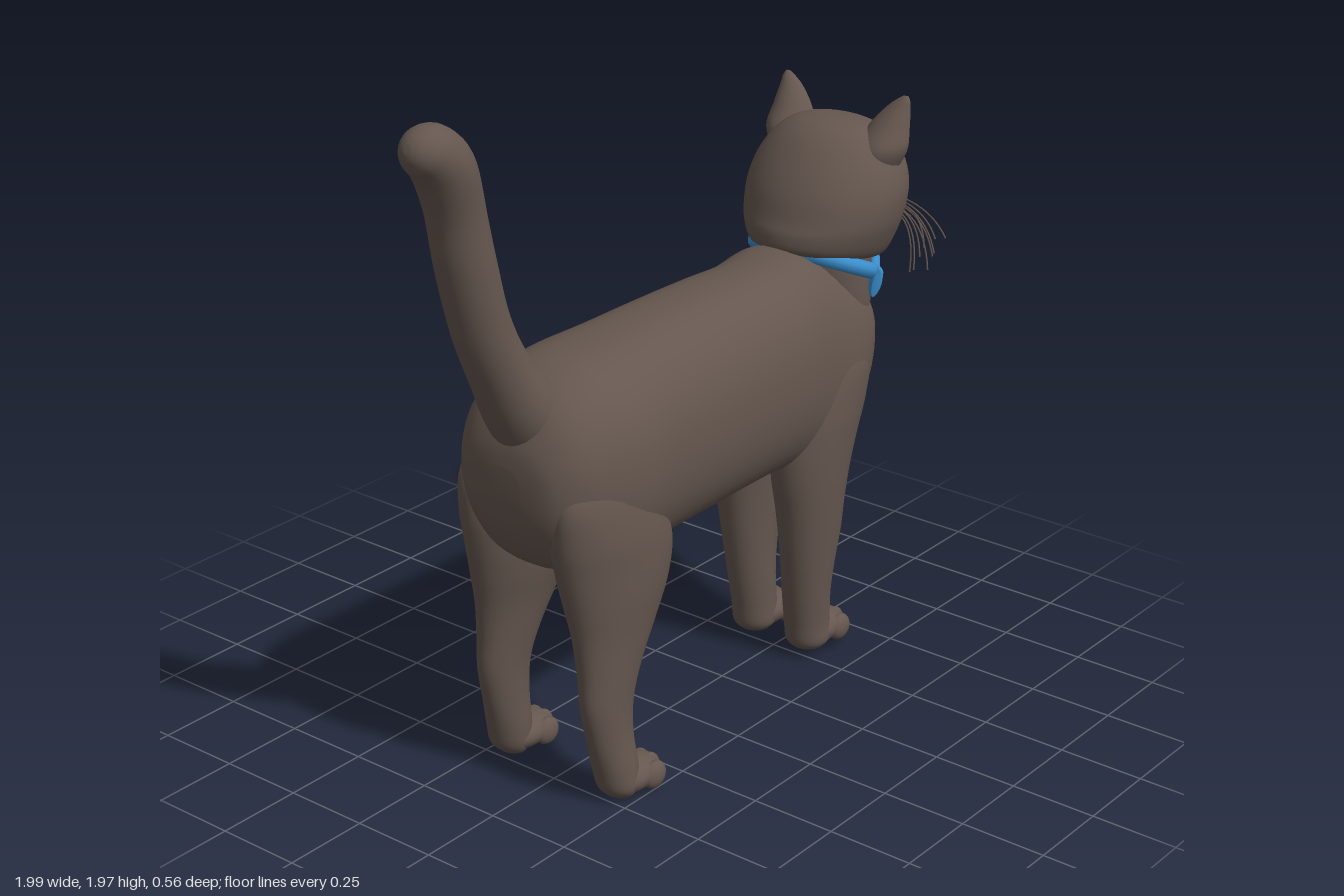
import * as THREE from 'three';

const fur = new THREE.MeshStandardMaterial({ color: 0x65574f });
fur.name = 'brownFur';
const blue = new THREE.MeshStandardMaterial({ color: 0x3a8fcd });
blue.name = 'blueRibbon';

function mesh(parent, name, geometry, material = fur) {
  const m = new THREE.Mesh(geometry, material);
  m.name = name;
  parent.add(m);
  return m;
}

// Smooth interpolation between rows of section numbers
function sample(rows, t) {
  const i = Math.min(Math.floor(t), rows.length - 2), f = t - i;
  const r = k => rows[Math.max(0, Math.min(rows.length - 1, k))];
  return rows[i].map((b, k) => {
    const a = r(i - 1)[k], c = r(i + 1)[k], d = r(i + 2)[k];
    return b + 0.5 * f * (c - a + f * (2 * a - 5 * b + 4 * c - d + f * (3 * (b - c) + d - a)));
  });
}

// Closed skin over cross-sections; place(row, cos, sin) gives each point
function loft(rows, place, n = 36, steps = 5) {
  const pos = [], idx = [], rings = (rows.length - 1) * steps + 1;
  for (let j = 0; j < rings; j++) {
    const row = sample(rows, j / steps);
    for (let i = 0; i < n; i++) {
      const a = i / n * Math.PI * 2;
      pos.push(...place(row, Math.cos(a), Math.sin(a)));
    }
  }
  const centre = j => {
    const c = [0, 0, 0];
    for (let i = 0; i < n; i++) for (let k = 0; k < 3; k++) c[k] += pos[(j * n + i) * 3 + k] / n;
    pos.push(...c);
    return pos.length / 3 - 1;
  };
  const first = centre(0), last = centre(rings - 1);
  for (let i = 0; i < n; i++) {
    const k = (i + 1) % n;
    for (let j = 0; j < rings - 1; j++) {
      const a = j * n + i, b = j * n + k;
      idx.push(a, b, a + n, b, b + n, a + n);
    }
    idx.push(first, k, i, last, (rings - 1) * n + i, (rings - 1) * n + k);
  }
  // Turn the faces outwards using the signed volume
  const v = i => new THREE.Vector3().fromArray(pos, i * 3);
  let volume = 0;
  for (let i = 0; i < idx.length; i += 3) volume += v(idx[i]).dot(v(idx[i + 1]).cross(v(idx[i + 2])));
  if (volume < 0) idx.reverse();
  const g = new THREE.BufferGeometry();
  g.setAttribute('position', new THREE.Float32BufferAttribute(pos, 3));
  g.setIndex(idx);
  g.computeVertexNormals();
  return g;
}

function blob(parent, name, p, r, material = fur, rot = [0, 0, 0]) {
  const m = mesh(parent, name, new THREE.SphereGeometry(1, 24, 16), material);
  m.position.set(...p);
  m.scale.set(...r);
  m.rotation.set(...rot);
}

const round = (v, p) => Math.sign(v) * Math.abs(v) ** p;

// Upright limb rows: y, x back, x front, z inner, z outer
const limb = side => ([y, x0, x1, z0, z1], c, s) =>
  [(x0 + x1) / 2 + (x1 - x0) / 2 * c, y, side * ((z0 + z1) / 2 + (z1 - z0) / 2 * s)];

function paw(parent, name, x, y, z) {
  const g = new THREE.Group();
  g.name = name;
  parent.add(g);
  blob(g, 'pawPad', [x - 0.105, y + 0.05, z], [0.1, 0.05, 0.07]);
  for (let i = 0; i < 4; i++) {
    const o = i - 1.5, mid = Math.abs(o) < 1;
    blob(g, 'toe', [x - (mid ? 0.042 : 0.06), y + 0.042, z + o * 0.036], [0.042, mid ? 0.044 : 0.04, 0.024]);
  }
}

// Point on the tilted collar ring
const collarPoint = a => new THREE.Vector3(0.665 + 0.145 * Math.cos(a), 1.187 - 0.065 * Math.cos(a), 0.178 * Math.sin(a));

function bow(parent, angle) {
  const g = new THREE.Group();
  g.name = 'bow';
  g.position.copy(collarPoint(angle));
  g.position.y -= 0.005;
  g.rotation.set(0, -angle, -0.2);
  parent.add(g);
  blob(g, 'knot', [0.014, 0, 0], [0.02, 0.023, 0.02], blue);
  for (const s of [-1, 1]) {
    mesh(g, 'bowWing', loft([[0.005, 0.014, 0.012], [0.035, 0.028, 0.018], [0.07, 0.046, 0.018], [0.085, 0.042, 0.01]],
      ([z, h, d], c, q) => [0.008 + d * c, h * q, s * z], 16), blue);
  }
}

export function createModel() {
  const cat = new THREE.Group();
  cat.name = 'cat';

  // Torso rows: x, top, bottom, half width
  mesh(cat, 'torso', loft([
    [-0.68, 0.99, 0.9, 0.05], [-0.662, 1.07, 0.8, 0.145], [-0.6, 1.17, 0.7, 0.212], [-0.5, 1.225, 0.65, 0.25],
    [-0.38, 1.24, 0.63, 0.264], [-0.2, 1.245, 0.63, 0.245], [0, 1.25, 0.63, 0.235], [0.2, 1.25, 0.63, 0.227],
    [0.35, 1.247, 0.625, 0.22], [0.47, 1.265, 0.6, 0.213], [0.58, 1.23, 0.58, 0.21], [0.66, 1.19, 0.65, 0.2],
    [0.73, 1.14, 0.76, 0.175], [0.78, 1.08, 0.87, 0.13], [0.805, 1.0, 0.95, 0.05]],
  ([x, t, b, w], c, s) => [x, (t + b) / 2 + (t - b) / 2 * round(s, 0.87), w * round(c, 0.85)], 48));

  // Neck, leaning forward into the collar
  mesh(cat, 'neck', loft([[1.0, 0.55, 0.79, 0.165], [1.1, 0.53, 0.81, 0.172], [1.19, 0.52, 0.81, 0.172], [1.3, 0.53, 0.82, 0.17]],
    ([y, x0, x1, w], c, s) => [(x0 + x1) / 2 + (x1 - x0) / 2 * c, y - 0.06 * c, w * s]));

  // Tail rows: x, y, radius, lean of the section
  mesh(cat, 'tail', loft([
    [-0.53, 1.04, 0.1, 0.8], [-0.61, 1.14, 0.1, 0.8], [-0.68, 1.26, 0.084, 0.6], [-0.745, 1.4, 0.078, 0.4],
    [-0.795, 1.58, 0.078, 0.2], [-0.828, 1.73, 0.076, 0.25], [-0.868, 1.84, 0.081, 0.65], [-0.917, 1.895, 0.075, 1],
    [-0.96, 1.915, 0.06, 1.15], [-0.987, 1.922, 0.036, 1.2], [-0.997, 1.925, 0.012, 1.2]],
  ([x, y, r, a], c, s) => [x + r * c * Math.cos(a), y + r * c * Math.sin(a), r * s + (y > 1.7 ? (y - 1.7) * 0.06 : 0)], 28));

  // Head rows: y, x back, x front, half width, forward tilt
  const head = new THREE.Group();
  head.name = 'head';
  cat.add(head);
  mesh(head, 'skull', loft([
    [1.205, 0.52, 0.84, 0.14, -0.035], [1.222, 0.475, 0.89, 0.186, -0.035], [1.28, 0.472, 0.92, 0.217, -0.02],
    [1.34, 0.487, 0.938, 0.234, 0], [1.41, 0.513, 0.942, 0.236, 0], [1.48, 0.555, 0.926, 0.215, 0],
    [1.54, 0.605, 0.888, 0.172, 0], [1.575, 0.655, 0.83, 0.115, 0], [1.59, 0.71, 0.77, 0.04, 0]],
  ([y, x0, x1, w, t], c, s) => [(x0 + x1) / 2 + (x1 - x0) / 2 * c, y + t * c, w * s], 44));
  blob(head, 'snout', [0.91, 1.3, 0], [0.065, 0.075, 0.105]);
  blob(head, 'noseBridge', [0.925, 1.385, 0], [0.034, 0.1, 0.058], fur, [0, 0, 0.42]);
  blob(head, 'nose', [0.968, 1.333, 0], [0.022, 0.022, 0.03]);
  blob(head, 'chin', [0.932, 1.25, 0], [0.03, 0.03, 0.045]);

  for (const s of [-1, 1]) {
    blob(head, 'whiskerPad', [0.941, 1.297, s * 0.034], [0.034, 0.034, 0.042]);
    blob(head, 'eye', [0.912, 1.412, s * 0.092], [0.013, 0.02, 0.038], fur, [-s * 0.3, s * 0.35, 0]);
    // Cupped ear, hollow towards the face
    mesh(head, 'ear', loft([
      [1.45, 0.765, 0.08, 0.14, 0.06], [1.52, 0.775, 0.09, 0.158, 0.076], [1.58, 0.79, 0.062, 0.168, 0.062],
      [1.63, 0.802, 0.035, 0.185, 0.038], [1.655, 0.805, 0.018, 0.198, 0.021], [1.668, 0.806, 0.006, 0.204, 0.007]],
    ([y, x, d, z, w], c, q) => [x + d * (c > 0 ? -0.5 * c : c), y, s * (z + w * q)], 28));

    // Whiskers drooping outwards
    for (let i = 0; i < 9; i++) {
      const k = i / 8, y = 1.315 - 0.04 * k, reach = 0.28 - 0.07 * k * k - 0.025 * (i % 3);
      const curve = new THREE.QuadraticBezierCurve3(
        new THREE.Vector3(0.945 - 0.006 * (i % 3), y, s * 0.055),
        new THREE.Vector3(0.955 - 0.01 * (i % 2), y - 0.005, s * (0.1 + reach * 0.35)),
        new THREE.Vector3(0.92 - 0.014 * (i % 4), 1.23 - 0.13 * k + 0.012 * (i % 2), s * reach));
      mesh(head, 'whisker', new THREE.TubeGeometry(curve, 12, 0.0025, 5));
    }

    // Front leg
    mesh(cat, 'frontLeg', loft([
      [1.02, 0.46, 0.68, 0.08, 0.18], [0.92, 0.4, 0.74, 0.04, 0.212], [0.8, 0.37, 0.725, 0.02, 0.217],
      [0.7, 0.365, 0.69, 0.015, 0.212], [0.6, 0.375, 0.66, 0.014, 0.205], [0.5, 0.395, 0.64, 0.022, 0.197],
      [0.4, 0.412, 0.63, 0.028, 0.188], [0.3, 0.428, 0.61, 0.032, 0.178], [0.2, 0.443, 0.6, 0.033, 0.168],
      [0.11, 0.458, 0.605, 0.033, 0.162], [0.05, 0.468, 0.61, 0.033, 0.162], [0.025, 0.49, 0.58, 0.05, 0.145]], limb(s)));
    paw(cat, 'frontPaw', 0.685, 0.018, s * 0.095);

    // Hind leg with full thigh
    mesh(cat, 'hindLeg', loft([
      [1.02, -0.55, -0.42, 0.13, 0.2], [0.92, -0.64, -0.3, 0.08, 0.246], [0.8, -0.648, -0.25, 0.05, 0.265],
      [0.7, -0.632, -0.22, 0.05, 0.266], [0.6, -0.61, -0.245, 0.065, 0.262], [0.5, -0.59, -0.3, 0.09, 0.252],
      [0.4, -0.582, -0.36, 0.11, 0.245], [0.3, -0.58, -0.4, 0.125, 0.24], [0.2, -0.56, -0.408, 0.13, 0.24],
      [0.1, -0.535, -0.4, 0.13, 0.25], [0.04, -0.518, -0.4, 0.135, 0.252], [0.01, -0.49, -0.42, 0.15, 0.235]], limb(s)));
    paw(cat, 'hindPaw', -0.31, 0.002, s * 0.192);
  }

  // Collar with a row of bows
  const collar = new THREE.Group();
  collar.name = 'collar';
  cat.add(collar);
  const ring = Array.from({ length: 24 }, (_, i) => collarPoint(i / 24 * Math.PI * 2));
  mesh(collar, 'collarBand', new THREE.TubeGeometry(new THREE.CatmullRomCurve3(ring, true), 64, 0.024, 10, true), blue);
  for (const a of [-0.9, 0, 0.9]) bow(collar, a);

  return cat;
}
